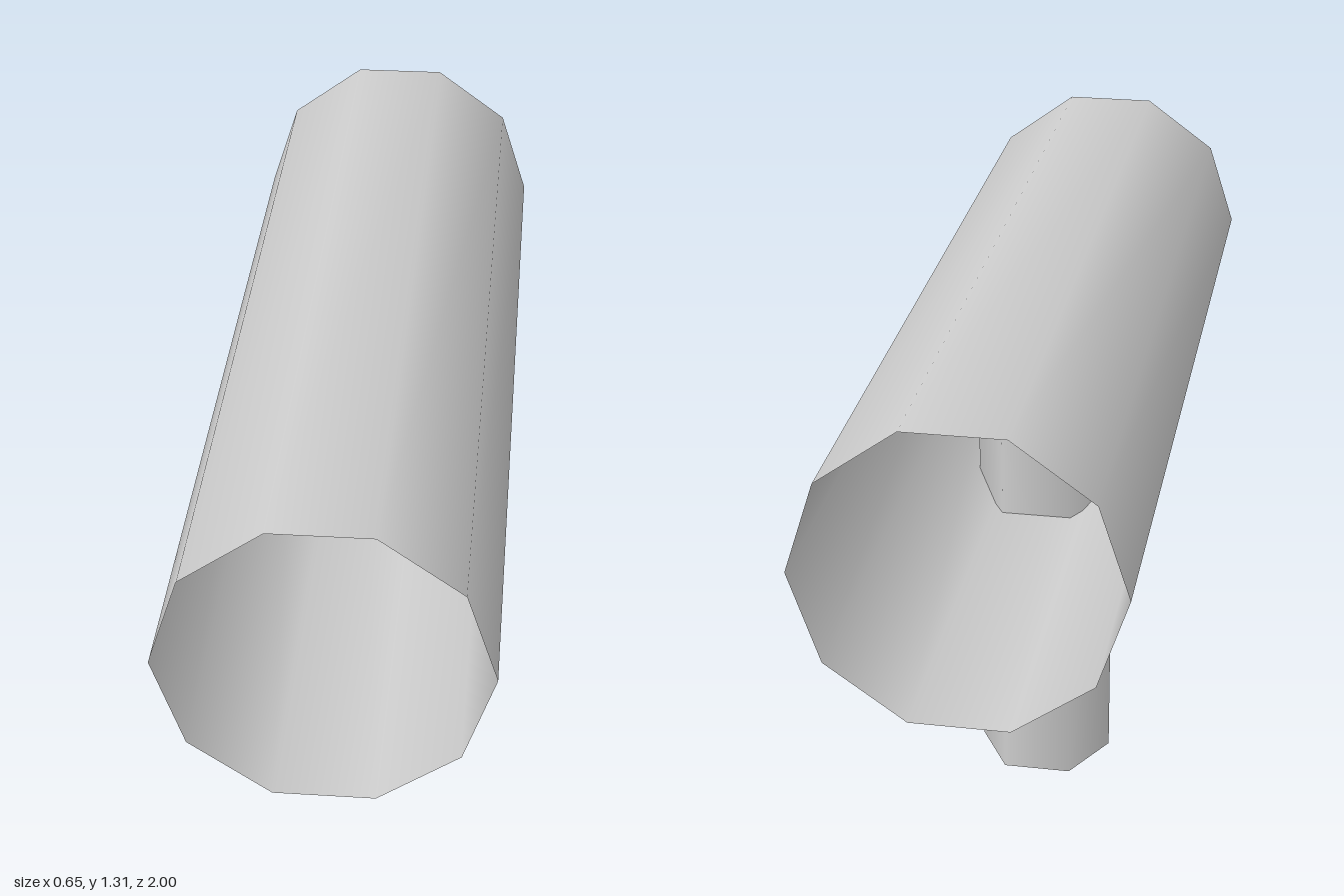
import * as THREE from 'three';

const grey = new THREE.MeshStandardMaterial({ color: 0xcccccc, side: THREE.DoubleSide });
grey.name = 'grey';

// Open-ended smooth pipe standing on y, with corners on the x axis
function pipe(name, radius, length, sides) {
  const geometry = new THREE.CylinderGeometry(radius, radius, length, sides, 1, true, Math.PI / 2);
  const mesh = new THREE.Mesh(geometry, grey);
  mesh.name = name;
  return mesh;
}

export function createModel() {
  const group = new THREE.Group();
  group.name = 'hammer';

  // Ten-sided hollow head lying along z
  const head = pipe('head', 0.325, 2, 10);
  head.rotation.x = Math.PI / 2;
  head.position.y = 1;

  // Six-sided hollow handle reaching up to the middle of the head
  const handle = pipe('handle', 0.155, 1, 6);
  handle.position.y = 0.5;

  group.add(head, handle);
  return group;
}
